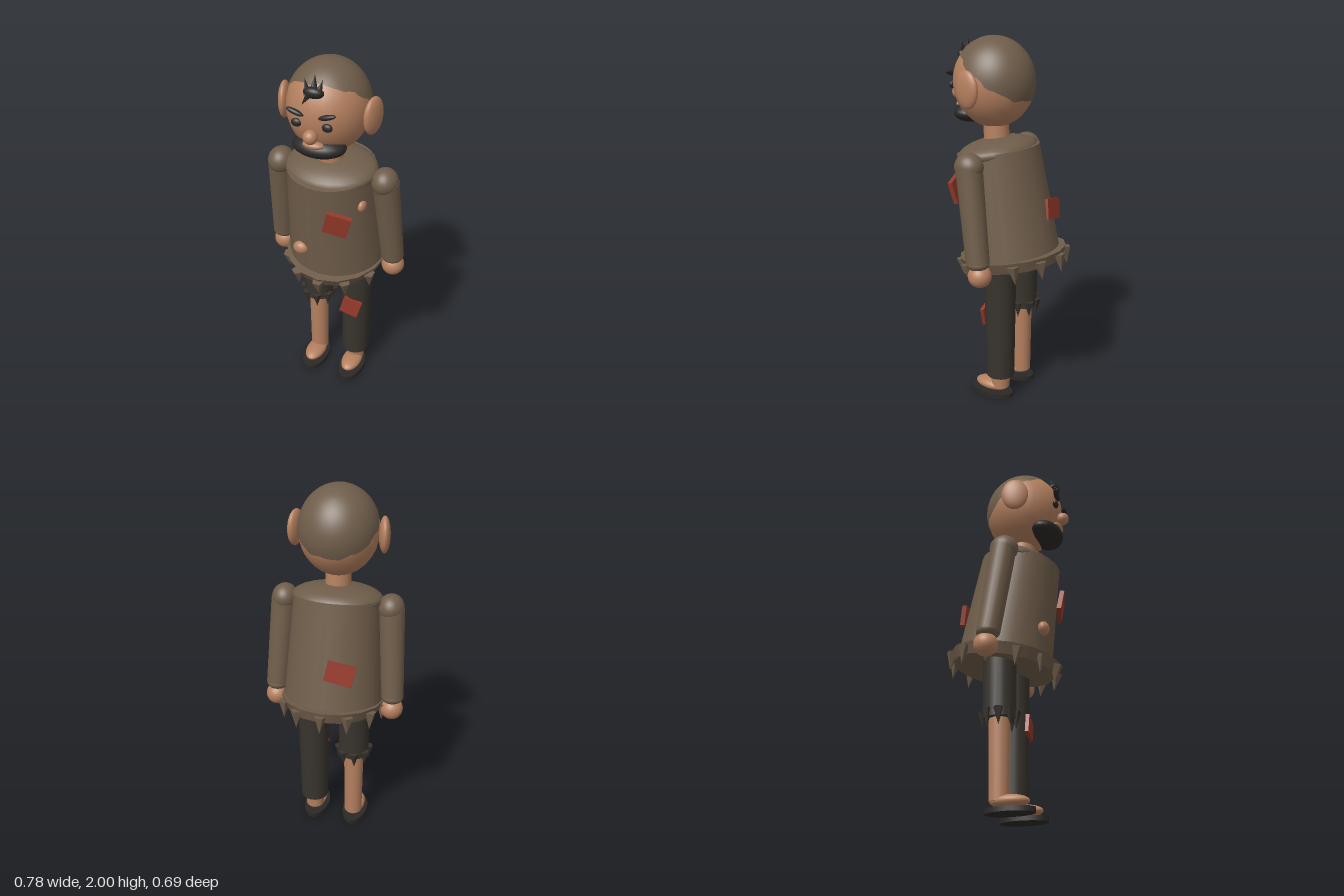
import * as THREE from 'three';

const paint = (name, color) => {
  const m = new THREE.MeshStandardMaterial({ color });
  m.name = name;
  return m;
};

export function createModel() {
  const cloth = paint('brown cloth', 0x6f5d4a);
  const skin = paint('skin', 0xb5805f);
  const trouser = paint('dark trousers', 0x38332c);
  const black = paint('black hair', 0x2b2927);
  const red = paint('red patch', 0x963a2a);
  const root = new THREE.Group();
  root.name = 'figure';

  const add = (parent, name, geo, mat, pos = [0, 0, 0], rot = [0, 0, 0]) => {
    const mesh = new THREE.Mesh(geo, mat);
    mesh.name = name;
    mesh.position.set(...pos);
    mesh.rotation.set(...rot);
    parent.add(mesh);
    return mesh;
  };
  const ball = (parent, name, mat, pos, r, rot) =>
    add(parent, name, new THREE.SphereGeometry(1, 24, 16).scale(...r), mat, pos, rot);
  const group = (name, pos, rot = [0, 0, 0]) => {
    const g = new THREE.Group();
    g.name = name;
    g.position.set(...pos);
    g.rotation.set(...rot);
    root.add(g);
    return g;
  };
  // Tapered round limb between two points
  const limb = (parent, name, mat, from, to, r0, r1) => {
    const a = new THREE.Vector3(...from), b = new THREE.Vector3(...to);
    const d = a.clone().sub(b);
    const mesh = add(parent, name, new THREE.CylinderGeometry(r0, r1, d.length(), 20), mat);
    mesh.position.copy(a).add(b).multiplyScalar(0.5);
    mesh.quaternion.setFromUnitVectors(new THREE.Vector3(0, 1, 0), d.normalize());
    return mesh;
  };
  // Ring of ragged points hanging from an edge
  const tatters = (parent, name, mat, count, centre, rx, rz, size, height, offset = 0) => {
    for (let i = 0; i < count; i++) {
      const a = offset + (i / count) * Math.PI * 2;
      const geo = new THREE.ConeGeometry(size, height, 5).toNonIndexed();
      geo.computeVertexNormals();
      add(parent, name, geo, mat,
        [centre[0] + Math.sin(a) * rx, centre[1], centre[2] + Math.cos(a) * rz], [Math.PI, a, 0]);
    }
  };

  // Shirt, leaning forward
  const shirt = group('shirt', [0, 1.134, 0.003], [0.16, 0, 0]);
  add(shirt, 'shirtBody', new THREE.CylinderGeometry(0.235, 0.272, 0.57, 28).scale(1, 1, 0.93), cloth);
  ball(shirt, 'shoulderYoke', cloth, [0, 0.275, 0], [0.247, 0.075, 0.2]);
  add(shirt, 'hem', new THREE.CylinderGeometry(0.285, 0.262, 0.06, 16).scale(1, 1, 1.05), cloth, [0, -0.312, 0]);
  tatters(shirt, 'hemPoint', cloth, 12, [0, -0.35, 0], 0.275, 0.29, 0.034, 0.1);

  // Patches and holes in the shirt
  add(root, 'chestPatch', new THREE.BoxGeometry(0.13, 0.13, 0.025), red, [0.112, 1.19, 0.245], [0.17, 0.2, -0.28]);
  add(root, 'backPatch', new THREE.BoxGeometry(0.15, 0.11, 0.025), red, [-0.083, 1.1, -0.238], [0.17, 0.1, 0.2]);
  ball(root, 'bellyHole', skin, [-0.112, 0.96, 0.205], [0.043, 0.037, 0.03]);
  ball(root, 'sideHole', skin, [0.205, 1.265, 0.135], [0.022, 0.033, 0.036]);

  // Arms
  for (const s of [-1, 1]) {
    const arm = group(s > 0 ? 'leftArm' : 'rightArm', [0, 0, 0]);
    ball(arm, 'shoulder', cloth, [s * 0.29, 1.375, 0.042], [0.07, 0.073, 0.078]);
    limb(arm, 'sleeve', cloth, [s * 0.293, 1.37, 0.04], [s * 0.326, 0.88, -0.028], 0.07, 0.062);
    ball(arm, 'cuff', cloth, [s * 0.326, 0.88, -0.028], [0.062, 0.04, 0.063]);
    ball(arm, 'hand', skin, [s * 0.327, 0.81, -0.04], [0.062, 0.062, 0.063]);
  }

  // Legs: long trouser on the left, torn short on the right
  const lz = -0.035;
  limb(root, 'leftTrouser', trouser, [0.118, 0.84, lz], [0.118, 0.135, lz], 0.089, 0.078);
  limb(root, 'rightTrouser', trouser, [-0.117, 0.84, lz], [-0.117, 0.48, lz], 0.088, 0.085);
  tatters(root, 'trouserPoint', trouser, 8, [-0.117, 0.475, lz], 0.083, 0.083, 0.028, 0.09, 0.25);
  limb(root, 'rightShin', skin, [-0.118, 0.55, lz], [-0.118, 0.06, lz], 0.057, 0.051);
  limb(root, 'leftAnkle', skin, [0.117, 0.2, lz], [0.117, 0.06, lz], 0.056, 0.051);
  add(root, 'kneePatch', new THREE.BoxGeometry(0.108, 0.108, 0.02), red, [0.117, 0.5, 0.052], [0, 0.08, -0.28]);
  for (const s of [-1, 1]) {
    ball(root, 'foot', skin, [s * 0.118, 0.06, 0.02], [0.057, 0.033, 0.102]);
    add(root, 'sole', new THREE.CylinderGeometry(1, 1, 0.026, 24).scale(0.072, 1, 0.13), black, [s * 0.118, 0.013, 0.02]);
  }

  // Head
  limb(root, 'neck', skin, [0, 1.58, 0.065], [0, 1.43, 0.055], 0.066, 0.07);
  const head = group('head', [0, 1.765, 0.073]);
  ball(head, 'skull', skin, [0, 0, 0], [0.21, 0.235, 0.219]);

  // Close-cropped hair with an uneven rim, tipped backwards
  const cap = new THREE.SphereGeometry(1, 48, 16, 0, Math.PI * 2, 0, Math.PI * 0.433);
  const p = cap.attributes.position, v = new THREE.Vector3();
  for (let i = 0; i < p.count; i++) {
    v.fromBufferAttribute(p, i);
    if (v.y < 0.25) {
      const a = Math.atan2(v.x, v.z);
      v.y += 0.025 * Math.sin(a * 9) + 0.015 * Math.sin(a * 16);
      v.normalize();
      p.setXYZ(i, v.x, v.y, v.z);
    }
  }
  cap.rotateX(-0.57).scale(0.213, 0.238, 0.222);
  cap.computeVertexNormals();
  add(head, 'croppedHair', cap, cloth);

  // Face
  for (const s of [-1, 1]) {
    ball(head, 'ear', skin, [s * 0.234, -0.012, 0.013], [0.03, 0.097, 0.075], [0, -s * 0.22, 0]);
    ball(head, 'eye', black, [s * 0.079, -0.018, 0.207], [0.027, 0.021, 0.015]);
    ball(head, 'eyebrow', black, [s * 0.082, 0.04, 0.215], [0.046, 0.013, 0.015], [0, 0, s * 0.3]);
  }
  ball(head, 'nose', skin, [0, -0.072, 0.226], [0.036, 0.036, 0.036]);
  ball(head, 'beard', black, [0, -0.163, 0.125], [0.14, 0.056, 0.095]);
  ball(head, 'lips', skin, [0, -0.128, 0.195], [0.055, 0.02, 0.03]);

  // Forelock
  ball(head, 'forelock', black, [0, 0.135, 0.18], [0.052, 0.028, 0.034], [-0.6, 0, 0]);
  const locks = [[-0.037, 0.16, 0.18, 0.3], [-0.002, 0.18, 0.165, 0], [0.032, 0.165, 0.175, -0.25], [-0.03, 0.108, 0.2, 2.6]];
  for (const [x, y, z, r] of locks)
    add(head, 'hairSpike', new THREE.ConeGeometry(0.02, 0.075, 6), black, [x, y, z], [-0.25, 0, r]);

  return root;
}
